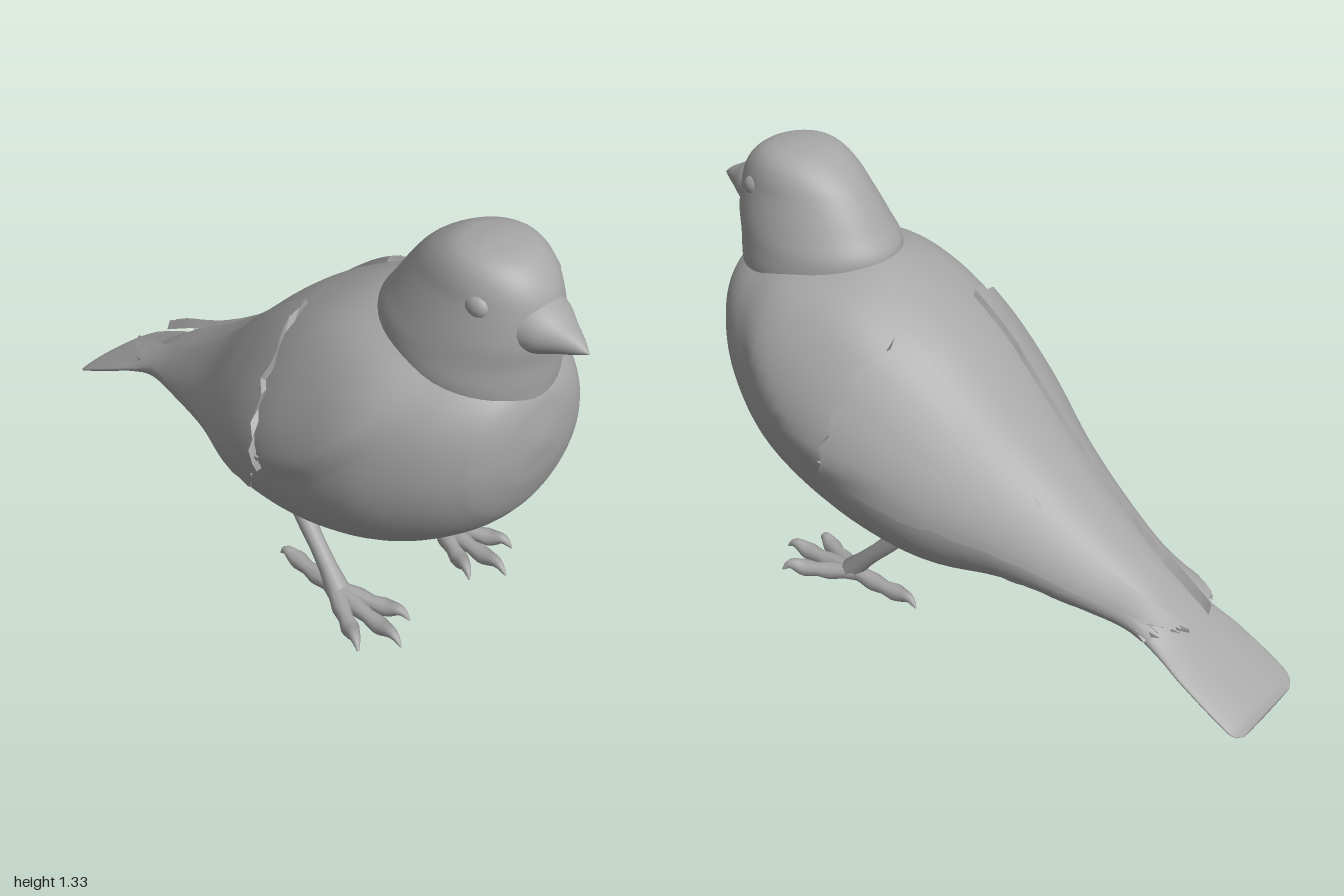
import * as THREE from 'three';
import { toCreasedNormals } from 'three/addons/utils/BufferGeometryUtils.js';

const V = (x, y, z) => new THREE.Vector3(x, y, z);
const smooth = THREE.MathUtils.smoothstep;
const lerp = THREE.MathUtils.lerp;
const hash = n => { const s = Math.sin(n * 12.9898) * 43758.5453; return s - Math.floor(s) - 0.5; };

// Smooth interpolation of rows [key, a, b, ...] with descending keys
function sample(rows, k) {
  let i = 0;
  while (i < rows.length - 2 && k < rows[i + 1][0]) i++;
  const p = rows[i], q = rows[i + 1], h = q[0] - p[0];
  const t = THREE.MathUtils.clamp((k - p[0]) / h, 0, 1);
  const slope = (n, c) => {
    const a = rows[Math.max(n - 1, 0)], b = rows[Math.min(n + 1, rows.length - 1)];
    return (b[c] - a[c]) / (b[0] - a[0]);
  };
  const t2 = t * t, t3 = t2 * t;
  return p.slice(1).map((_, n) => {
    const c = n + 1;
    return (2 * t3 - 3 * t2 + 1) * p[c] + (t3 - 2 * t2 + t) * h * slope(i, c)
      + (3 * t2 - 2 * t3) * q[c] + (t3 - t2) * h * slope(i + 1, c);
  });
}

// Station keys, each span subdivided
function stations(rows, n) {
  const out = [];
  for (let i = 0; i < rows.length - 1; i++)
    for (let j = 0; j < n; j++) out.push(lerp(rows[i][0], rows[i + 1][0], j / n));
  out.push(rows[rows.length - 1][0]);
  return out;
}

// Closed skin over a series of rings, capped at both ends
function loft(rings) {
  const n = rings[0].length, pos = [], idx = [];
  rings.forEach(r => r.forEach(p => pos.push(p.x, p.y, p.z)));
  for (let i = 0; i < rings.length - 1; i++)
    for (let j = 0; j < n; j++) {
      const a = i * n + j, b = i * n + (j + 1) % n;
      idx.push(a, b, a + n, b, b + n, a + n);
    }
  [0, rings.length - 1].forEach((r, end) => {
    const c = rings[r].reduce((s, p) => s.add(p), V(0, 0, 0)).divideScalar(n);
    const m = pos.length / 3;
    pos.push(c.x, c.y, c.z);
    for (let j = 0; j < n; j++) {
      const a = r * n + j, b = r * n + (j + 1) % n;
      idx.push(m, end ? a : b, end ? b : a);
    }
  });
  const g = new THREE.BufferGeometry();
  g.setAttribute('position', new THREE.Float32BufferAttribute(pos, 3));
  g.setIndex(idx);
  g.computeVertexNormals();
  return g;
}

// Copy on the other side, with corners and normals turned to match
function mirrored(geo) {
  const g = geo.clone();
  if (!g.index) g.setIndex([...Array(g.attributes.position.count).keys()]);
  const a = g.index.array;
  for (let i = 0; i < a.length; i += 3) [a[i], a[i + 1]] = [a[i + 1], a[i]];
  for (const k of [g.attributes.position, g.attributes.normal])
    for (let i = 0; i < k.count; i++) k.setX(i, -k.getX(i));
  return g;
}

// Body and tail: z, top, bottom, half width, height of widest point
const BODY = [
  [0.89, 0.83, 0.78, 0.02, 0.80], [0.87, 0.94, 0.66, 0.135, 0.79], [0.82, 1.0, 0.53, 0.225, 0.76],
  [0.7, 1.045, 0.4, 0.32, 0.72], [0.55, 1.065, 0.3, 0.385, 0.67], [0.35, 1.05, 0.215, 0.408, 0.62],
  [0.15, 0.95, 0.17, 0.395, 0.56], [0, 0.835, 0.165, 0.355, 0.5], [-0.2, 0.64, 0.205, 0.265, 0.41],
  [-0.4, 0.48, 0.215, 0.195, 0.33], [-0.6, 0.345, 0.205, 0.14, 0.265], [-0.72, 0.25, 0.175, 0.145, 0.21],
  [-0.8, 0.2, 0.14, 0.158, 0.17], [-0.95, 0.113, 0.062, 0.163, 0.088],
  [-0.985, 0.085, 0.048, 0.153, 0.065], [-1, 0.062, 0.05, 0.125, 0.056]];

// Point on the body, angle a measured from the top toward +x
function bodyPoint(z, a, off = 0) {
  const [top, bot, w, yc] = sample(BODY, z);
  const c = Math.cos(a), s = Math.sin(a);
  const y = yc + c * (c > 0 ? top - yc : yc - bot);
  // Folded shoulder swells above a sloping crease
  const line = 0.56 + 1.7 * Math.max(0, z - 0.27) ** 1.75;
  const swell = 0.02 * smooth(y, line - 0.02, line + 0.04) * smooth(z, 0, 0.3)
    * (1 - smooth(z, 0.5, 0.7)) * smooth(Math.abs(s), 0.3, 0.7);
  // Upper flanks are full at the shoulders and slope in toward the back
  const slope = c > 0 ? 1 + lerp(-0.07, 0.05, smooth(z, 0.25, 0.65)) * (2 * s * c) ** 2 : 1;
  return V(s * (w * slope + off + swell), y + c * (off + swell), z);
}

// Head and neck: y, front z, back z, half width
const HEAD = [
  [1.331, 0.71, 0.66, 0.04], [1.322, 0.765, 0.6, 0.09], [1.3, 0.81, 0.55, 0.125], [1.26, 0.85, 0.495, 0.148],
  [1.21, 0.873, 0.45, 0.162], [1.12, 0.885, 0.39, 0.19], [1.05, 0.877, 0.35, 0.207],
  [0.97, 0.872, 0.38, 0.212], [0.9, 0.86, 0.46, 0.18], [0.8, 0.8, 0.55, 0.12]];

const BEAK = [
  [1, 1.142, 1.138, 0.003], [0.97, 1.166, 1.123, 0.024], [0.92, 1.193, 1.104, 0.054],
  [0.88, 1.218, 1.085, 0.08], [0.84, 1.235, 1.07, 0.095], [0.8, 1.24, 1.06, 0.1]];

// Feather plate lying on the body; u runs back, v runs from upper to lower edge
function plate({ front, rear, upper, lower, thick, ragged, lift, seed }) {
  const NU = 40, NV = 14, rings = [];
  for (let i = 0; i <= NU; i++) {
    const u = i / NU, ring = [];
    const put = (j, off) => {
      const v = j / NV;
      const z = lerp(front(v) + 0.035 * hash(j + seed), rear(v) + 0.04 * hash(j * 3 + seed), u);
      const a = lerp(upper(z) + 0.04 * hash((i >> 2) + seed), lower(z) + ragged * hash((i >> 1) + seed), v);
      const p = bodyPoint(z, a, off);
      p.y += lift * smooth(-z, 0.5, 0.78);
      ring.push(p);
    };
    for (let j = 0; j <= NV; j++) put(j, thick);
    for (let j = NV; j >= 0; j--) put(j, -0.012);
    rings.push(ring);
  }
  return toCreasedNormals(loft(rings), 0.7);
}

// Tapered round limb along a curve; radii are spread evenly over its length
function limb(points, radii) {
  const curve = new THREE.CatmullRomCurve3(points.map(p => V(...p)));
  const N = 20, R = 10, g = new THREE.TubeGeometry(curve, N, 1, R);
  const p = g.attributes.position, q = V(0, 0, 0);
  for (let i = 0; i <= N; i++) {
    const c = curve.getPointAt(i / N), f = i / N * (radii.length - 1);
    const k = Math.min(Math.floor(f), radii.length - 2);
    const r = lerp(radii[k], radii[k + 1], f - k);
    for (let j = 0; j <= R; j++) {
      const m = i * (R + 1) + j;
      q.fromBufferAttribute(p, m).sub(c).multiplyScalar(r).add(c);
      p.setXYZ(m, q.x, q.y, q.z);
    }
  }
  return g;
}

export function createModel() {
  const bird = new THREE.Group();
  bird.name = 'bird';
  const plumage = new THREE.MeshStandardMaterial({ color: 0xa6a6a6 });
  plumage.name = 'plain grey';
  const add = (name, geo) => {
    const m = new THREE.Mesh(geo, plumage);
    m.name = name;
    bird.add(m);
  };
  const pair = (name, geo) => { add('left ' + name, geo); add('right ' + name, mirrored(geo)); };
  const around = (n, f) => Array.from({ length: n }, (_, j) => f(j / n * Math.PI * 2));

  add('body and tail', loft(stations(BODY, 5).map(z => around(72, a => bodyPoint(z, a)))));

  add('head', loft(stations(HEAD, 5).map(y => {
    const [f, b, w] = sample(HEAD, y);
    return around(48, a => V(w * Math.sin(a), y, (f + b) / 2 - (f - b) / 2 * Math.cos(a)));
  })));

  add('beak', loft(stations(BEAK, 4).map(z => {
    const [t, b, w] = sample(BEAK, z);
    return around(24, a => V(w * Math.sin(a), (t + b) / 2 + (t - b) / 2 * Math.cos(a), z));
  })));

  const eye = new THREE.SphereGeometry(0.034, 20, 14);
  eye.scale(0.75, 1, 1.2).translate(0.129, 1.212, 0.745);
  pair('eye', eye);

  // Folded wings, with a lower row of feathers showing beneath
  const innerX = [[0.3, 0.16], [-0.2, 0.14], [-0.45, 0.11], [-0.8, 0.05]];
  const wingLow = [[0.3, 1.7], [0, 1.63], [-0.3, 1.46], [-0.6, 1.28], [-0.8, 0.8]];
  const low = z => sample(wingLow, z)[0];
  pair('wing', plate({
    front: v => 0.16 + 0.1 * v, rear: v => -0.76 + 0.09 * v * v,
    upper: z => Math.asin(Math.min(0.9, sample(innerX, z)[0] / sample(BODY, z)[2])), lower: low,
    thick: 0.02, ragged: 0.04, lift: 0.045, seed: 5 }));
  pair('lower wing feathers', plate({
    front: v => 0.26 - 0.13 * v, rear: v => -0.7 + 0.06 * v,
    upper: z => low(z) - 0.15, lower: z => 2.02 - 0.1 * smooth(-z, 0.4, 0.7),
    thick: 0.007, ragged: 0.14, lift: 0.01, seed: 31 }));

  // Legs and feet
  pair('leg', limb([[0.197, 0.25, 0.17], [0.202, 0.2, 0.215], [0.21, 0.1, 0.31], [0.215, 0.045, 0.36]],
    [0.03, 0.028, 0.026, 0.028, 0.036]));
  const toes = [[0.218, 0.63, 'middle toe'], [0.32, 0.56, 'outer toe'], [0.125, 0.57, 'inner toe']];
  const toeRadii = [0.03, 0.024, 0.029, 0.022, 0.028, 0.017, 0.003];
  for (const [x, z, name] of toes) {
    const at = (t, y) => [lerp(0.215, x, t), y, lerp(0.34, z, t)];
    pair(name, limb([at(0, 0.045), at(0.35, 0.034), at(0.7, 0.031), at(0.88, 0.038), at(1, 0.012)], toeRadii));
  }
  pair('hind toe', limb([[0.215, 0.045, 0.36], [0.213, 0.034, 0.26], [0.21, 0.034, 0.17],
    [0.21, 0.036, 0.13], [0.21, 0.01, 0.105]], toeRadii));

  return bird;
}
